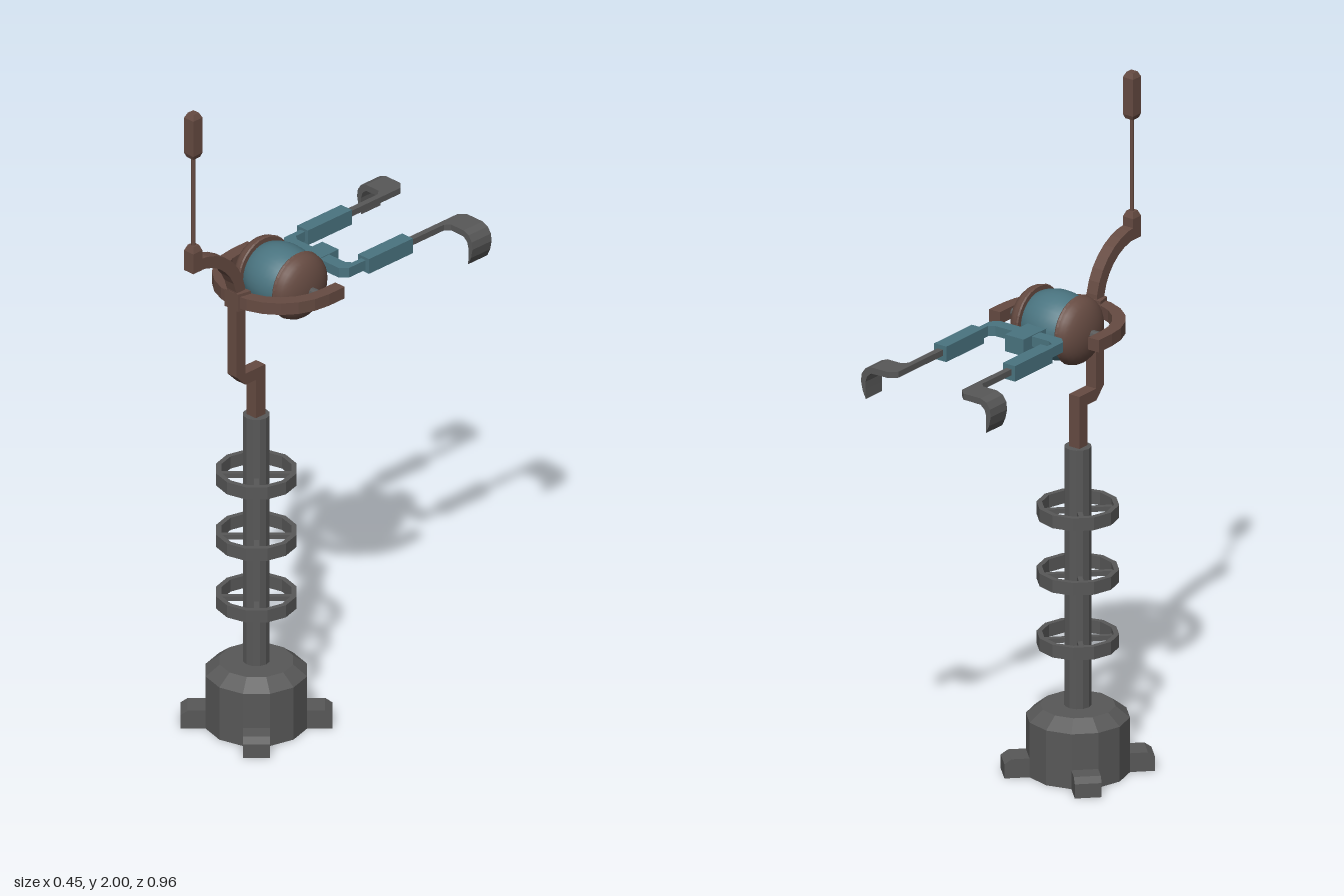
import * as THREE from 'three';

const mat = (color, flatShading = true) => new THREE.MeshStandardMaterial({ color, flatShading });
const grey = mat(0x585858), teal = mat(0x4a7480), brown = mat(0x664b42);
const tealSmooth = mat(0x4a7480, false), brownSmooth = mat(0x664b42, false);
const COL_Z = 0.215, HEAD_Y = 1.357, HEAD_Z = 0.12, ROD_Z = 0.462;

export function createModel() {
  const model = new THREE.Group();
  const add = (name, geo, material, x = 0, y = 0, z = 0, parent = model) => {
    const mesh = new THREE.Mesh(geo, material);
    mesh.name = name;
    mesh.position.set(x, y, z);
    parent.add(mesh);
    return mesh;
  };
  const vecs = pts => pts.map(p => new THREE.Vector2(p[0], p[1]));
  const extrude = (pts, depth) =>
    new THREE.ExtrudeGeometry(new THREE.Shape(vecs(pts)), { depth, bevelEnabled: false });
  // Outline in (x, z), raised from y0 to y1
  const plan = (pts, y0, y1) =>
    extrude(pts.map(([x, z]) => [x, -z]), y1 - y0).rotateX(-Math.PI / 2).translate(0, y0, 0);
  // Outline in (z, y), centred across x
  const side = (pts, width) =>
    extrude(pts, width).translate(0, 0, -width / 2).rotateY(-Math.PI / 2);
  const lathe = (pts, seg) => new THREE.LatheGeometry(vecs(pts), seg);
  // Box given by its limits
  const block = (name, x0, x1, y0, y1, z0, z1, material) =>
    add(name, new THREE.BoxGeometry(x1 - x0, y1 - y0, z1 - z0), material,
      (x0 + x1) / 2, (y0 + y1) / 2, (z0 + z1) / 2);
  const arc = (cx, cy, r, a0, a1, n) => Array.from({ length: n + 1 }, (_, i) => {
    const a = a0 + (a1 - a0) * i / n;
    return [cx + r * Math.cos(a), cy + r * Math.sin(a)];
  });

  // Base, feet and column
  add('base', lathe([[0, 0], [0.145, 0], [0.145, 0.163], [0.105, 0.195], [0, 0.195]], 12), grey, 0, 0, COL_Z);
  for (let i = 0; i < 4; i++) {
    const foot = add('foot', side([[0.1, 0], [0.21, 0], [0.21, 0.042], [0.19, 0.056], [0.1, 0.056]], 0.075),
      grey, 0, 0, COL_Z);
    foot.rotation.y = Math.PI / 4 + i * Math.PI / 2;
  }
  add('column', new THREE.CylinderGeometry(0.038, 0.038, 0.78, 12), grey, 0, 0.575, COL_Z);

  // Three hoops carried on spokes
  for (const y of [0.39, 0.583, 0.775]) {
    const hoop = new THREE.Group();
    hoop.name = 'hoop';
    hoop.position.set(0, y, COL_Z);
    model.add(hoop);
    add('hoopBand', lathe([[0.1, -0.019], [0.115, -0.019], [0.115, 0.019], [0.1, 0.019], [0.1, -0.019]], 12),
      grey, 0, 0, 0, hoop);
    for (const a of [Math.PI / 4, -Math.PI / 4]) {
      add('spoke', new THREE.BoxGeometry(0.205, 0.014, 0.014), grey, 0, 0, 0, hoop).rotation.y = a;
    }
  }

  // Cranked post, running up into a quarter-circle arm
  add('crankedPost', side([
    [0.198, 0.96], [0.198, 1.12], [0.275, 1.12],
    ...arc(0.46, 1.36, 0.185, Math.PI, Math.PI / 2, 8), [0.48, 1.545], [0.48, 1.51],
    ...arc(0.46, 1.36, 0.15, Math.PI / 2, Math.PI, 8),
    [0.31, 1.12], [0.275, 1.085], [0.235, 1.085], [0.235, 0.96],
  ], 0.036), brown);

  // Antenna: square socket, thin rod and square tip with tapered ends
  const squareBar = pts => lathe(pts.map(([r, y]) => [r * Math.SQRT2, y]), 4).rotateY(Math.PI / 4);
  add('antennaSocket', squareBar([[0, 1.508], [0.018, 1.508], [0.018, 1.57], [0.011, 1.587], [0, 1.587]]),
    brown, 0, 0, ROD_Z);
  add('antennaRod', new THREE.CylinderGeometry(0.006, 0.006, 0.3, 8), brown, 0, 1.725, ROD_Z);
  add('antennaTip', squareBar([[0, 1.862], [0.013, 1.862], [0.018, 1.875], [0.018, 1.985], [0.011, 2], [0, 2]]),
    brown, 0, 0, ROD_Z);

  // Yoke around the head, with its boss and pivots
  add('yoke', plan([
    [0.19, 0.06], ...arc(0, HEAD_Z, 0.19, 0, Math.PI, 12), [-0.19, 0.06],
    [-0.153, 0.06], ...arc(0, HEAD_Z, 0.153, Math.PI, 0, 12), [0.153, 0.06],
  ], 1.339, 1.375), brown);
  add('yokeBoss', plan([[-0.035, 0.272], [0.035, 0.272], [0.026, 0.313], [-0.026, 0.313]], 1.33, 1.384), brown);
  add('pivot', new THREE.CylinderGeometry(0.013, 0.013, 0.32, 10).rotateZ(Math.PI / 2), grey, 0, HEAD_Y, HEAD_Z);

  // Head: barrel core between two domed caps
  add('headCore', new THREE.SphereGeometry(0.099, 32, 20).rotateZ(Math.PI / 2).scale(1.2, 1, 1),
    tealSmooth, 0, HEAD_Y, HEAD_Z);
  for (const s of [1, -1]) {
    const turn = -s * Math.PI / 2;
    const dome = Array.from({ length: 9 }, (_, i) => {
      const a = i / 8 * Math.PI / 2;
      return [0.098 * Math.cos(a), 0.073 + 0.05 * Math.sin(a)];
    });
    add('headCap', lathe(dome, 32).rotateZ(turn), brownSmooth, 0, HEAD_Y, HEAD_Z);
    add('capRim', lathe([[0, 0.063], [0.097, 0.063], [0.1, 0.067], [0.098, 0.073]], 32).rotateZ(turn),
      brown, 0, HEAD_Y, HEAD_Z);
  }

  // Gripper mount and fork
  block('gripperStem', -0.032, 0.032, 1.332, 1.382, -0.075, 0.035, teal);
  const half = [[0.127, -0.09], [0.127, -0.02], [0.108, 0]];
  const inner = [[0.11, -0.09], [0.11, -0.05], [0.093, -0.038]];
  const flip = pts => pts.map(([x, z]) => [-x, z]).reverse();
  add('gripperFork', plan([...half, ...flip(half), ...flip(inner).reverse(), ...inner.slice().reverse()],
    1.35, 1.38), teal);

  // Gripper arms, each ending in a downturned hook
  for (const s of [1, -1]) {
    const span = (name, a, b, ...rest) => block(name, Math.min(s * a, s * b), Math.max(s * a, s * b), ...rest);
    const mirror = pts => pts.map(([x, y]) => [s * x, y]);
    span('armSleeve', 0.098, 0.14, 1.342, 1.388, -0.257, -0.085, teal);
    add('armRod', plan(mirror([[0.11, -0.25], [0.128, -0.25], [0.128, -0.39], [0.142, -0.405],
      [0.16, -0.405], [0.16, -0.48], [0.13, -0.48], [0.11, -0.46]]), 1.358, 1.376), grey);
    add('hook', extrude(mirror([[0.155, 1.376], [0.19, 1.376], [0.21, 1.368], [0.222, 1.35], [0.225, 1.328],
      [0.219, 1.3], [0.208, 1.277], [0.209, 1.305], [0.209, 1.328], [0.204, 1.345], [0.19, 1.357],
      [0.155, 1.358]]), 0.075), grey, 0, 0, -0.48);
  }
  return model;
}
